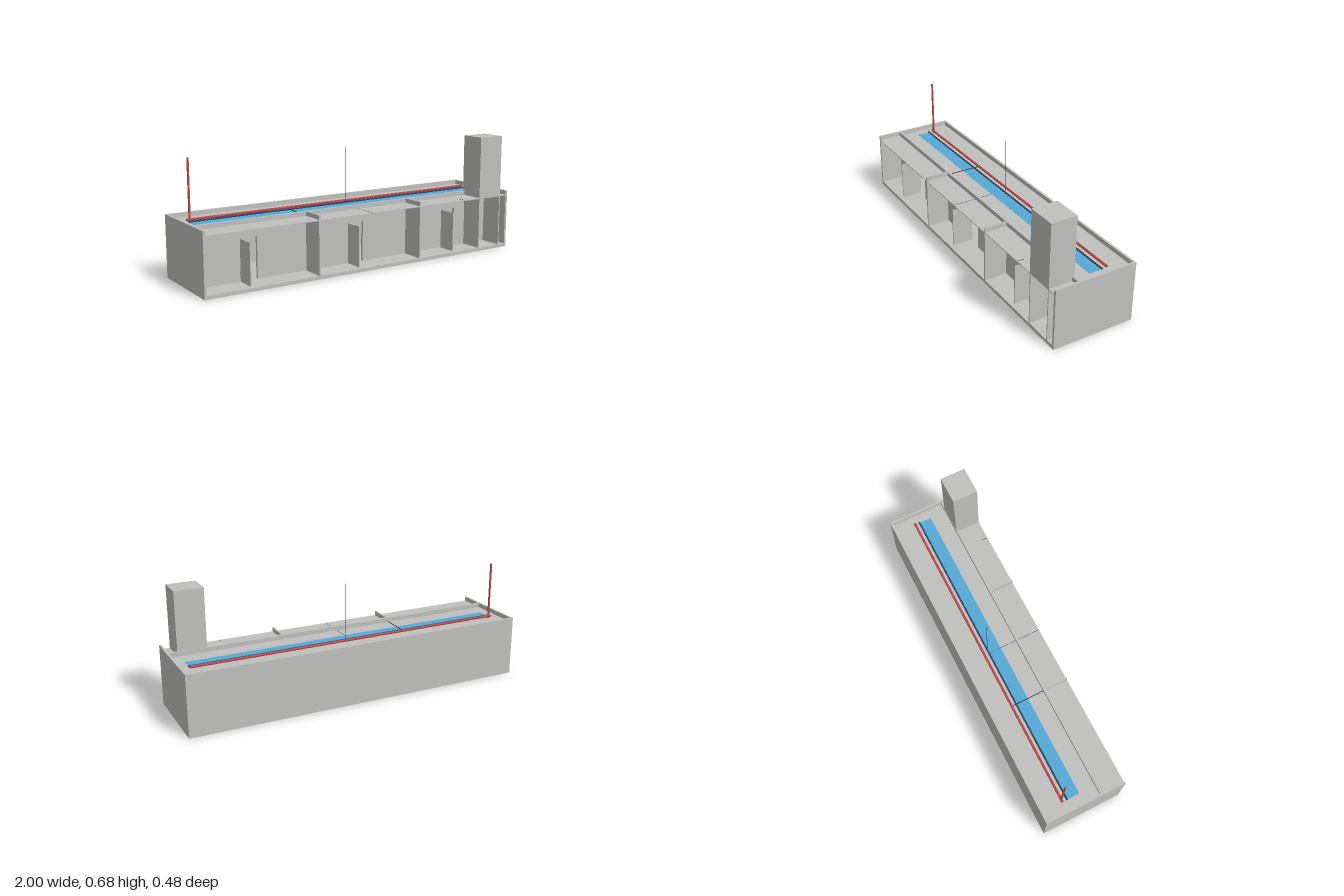
import * as THREE from 'three';

export function createModel() {
  const model = new THREE.Group();
  const mat = (name, color) => {
    const m = new THREE.MeshStandardMaterial({ color });
    m.name = name;
    return m;
  };
  const concrete = mat('concrete grey', 0xc0c0be);
  const red = mat('pipe red', 0xc44a4a);
  const blue = mat('water blue', 0x55a9d6);
  const navy = mat('dark blue', 0x2b4868);
  const dark = mat('cable black', 0x2a2526);

  // Box given by its limits on each axis
  const box = (name, m, [x0, x1], [y0, y1], [z0, z1]) => {
    const mesh = new THREE.Mesh(new THREE.BoxGeometry(x1 - x0, y1 - y0, z1 - z0), m);
    mesh.position.set((x0 + x1) / 2, (y0 + y1) / 2, (z0 + z1) / 2);
    mesh.name = name;
    model.add(mesh);
  };
  // Straight round pipe between two points
  const pipe = (name, m, a, b, r, sides = 12) => {
    const start = new THREE.Vector3(...a), end = new THREE.Vector3(...b);
    const dir = end.clone().sub(start);
    const mesh = new THREE.Mesh(new THREE.CylinderGeometry(r, r, dir.length(), sides), m);
    mesh.position.copy(start).add(end).multiplyScalar(0.5);
    mesh.quaternion.setFromUnitVectors(new THREE.Vector3(0, 1, 0), dir.normalize());
    mesh.name = name;
    model.add(mesh);
  };

  const H = 0.348, D = 0.24, T = 0.013, floor = 0.02, deck = 0.323;
  const doors = [-0.73, -0.063, 0.603], doorW = 0.093, doorTop = 0.25;

  // Floor, outer walls and roof deck sunk below the parapet
  box('floorSlab', concrete, [-1, 1], [0, floor], [-D, D]);
  box('backWall', concrete, [-1, 1], [floor, H], [-D, -D + T]);
  for (const s of [-1, 1]) {
    const x = s * (1 - T / 2);
    box('endWall', concrete, [x - T / 2, x + T / 2], [floor, H], [-D + T, D]);
  }
  box('roofDeck', concrete, [-1 + T, 1 - T], [deck - 0.005, deck], [-D + T, D]);

  // Long middle wall with three door openings
  const wall = new THREE.Shape();
  wall.moveTo(-1 + T, floor);
  for (const x of doors) {
    wall.lineTo(x, floor);
    wall.lineTo(x, doorTop);
    wall.lineTo(x + doorW, doorTop);
    wall.lineTo(x + doorW, floor);
  }
  wall.lineTo(1 - T, floor);
  wall.lineTo(1 - T, H);
  wall.lineTo(-1 + T, H);
  const middle = new THREE.Mesh(
    new THREE.ExtrudeGeometry(wall, { depth: 0.015, bevelEnabled: false }), concrete);
  middle.position.z = 0.09;
  middle.name = 'middleWall';
  model.add(middle);

  // Open door leaves and the dividers between the front bays
  for (const x of doors) {
    box('doorLeaf', concrete, [x - 0.006, x], [floor, doorTop], [0.105, 0.215]);
  }
  for (const x of [-0.335, 0.335]) {
    box('bayDivider', concrete, [x - 0.005, x + 0.005], [floor, H], [0.105, D]);
  }

  // Tower above the roof, carried on two thin walls in the last bay
  box('tower', concrete, [0.777, 0.942], [deck, 0.684], [0.092, D]);
  for (const x of [0.777, 0.936]) {
    box('towerShaftWall', concrete, [x, x + 0.006], [floor, deck], [0.105, D]);
  }

  // Roof pipes, red riser and water strip
  pipe('redPipe', red, [-0.935, 0.333, -0.108], [0.935, 0.333, -0.108], 0.007);
  pipe('redRiser', red, [-0.917, deck, -0.108], [-0.917, 0.659, -0.108], 0.006);
  pipe('darkBluePipe', navy, [-0.935, 0.327, -0.08], [0.935, 0.327, -0.08], 0.005);
  box('waterStrip', blue, [-0.932, 0.932], [deck, deck + 0.001], [-0.075, 0.01 - 0.016]);

  // Mast and thin cables
  pipe('mast', navy, [0.03, deck, -0.075], [0.03, 0.65, -0.075], 0.0015, 8);
  pipe('crossCable', dark, [-0.337, 0.326, -0.108], [-0.337, 0.326, 0.09], 0.002, 8);
  pipe('branchPipe', navy, [0, deck, -0.08], [0, deck, D], 0.0012, 8);
  pipe('shortCable', dark, [0.66, deck, 0.2], [0.66, deck, D], 0.0012, 8);
  return model;
}
